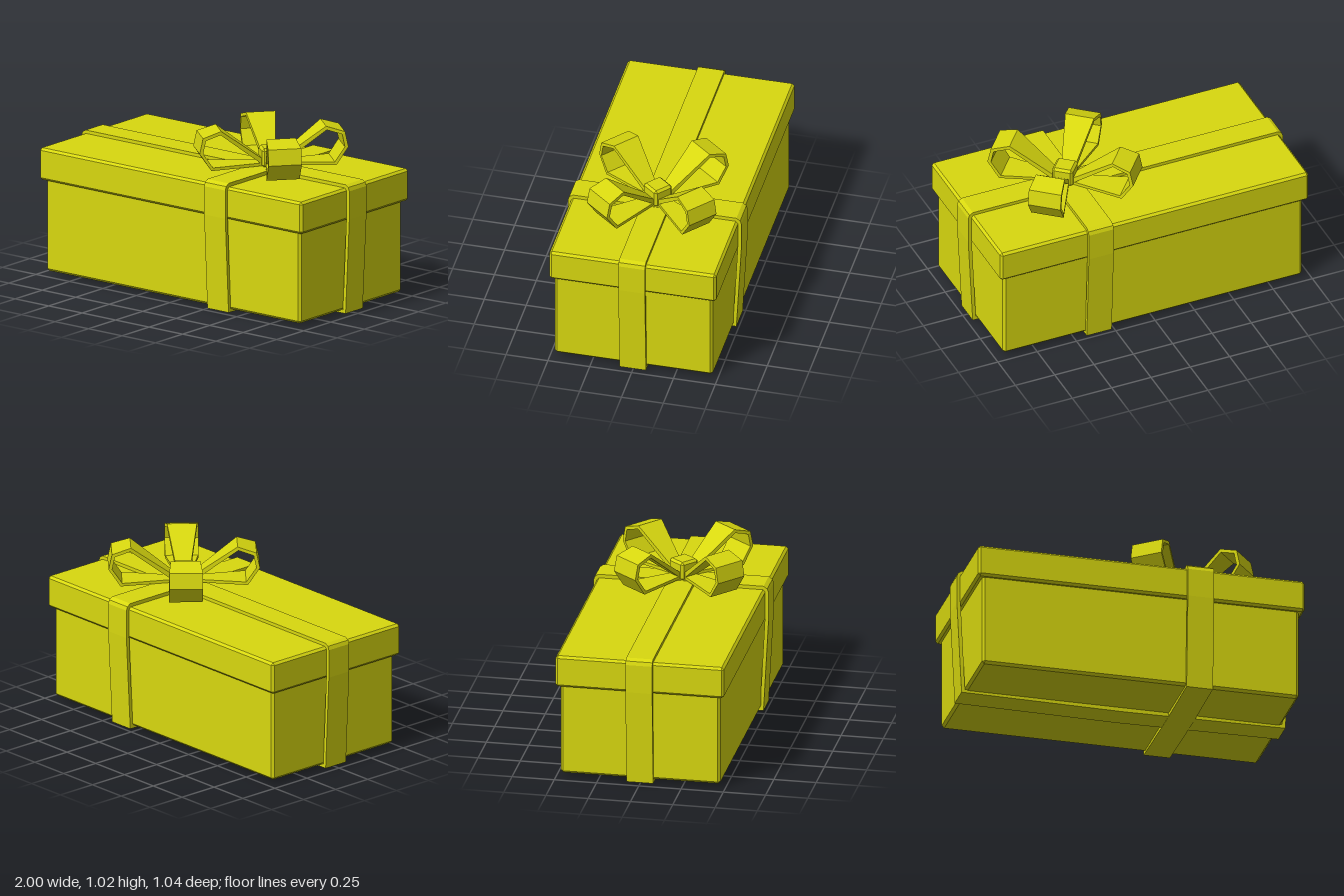
import * as THREE from 'three';
import { ConvexGeometry } from 'three/addons/geometries/ConvexGeometry.js';

const yellow = new THREE.MeshStandardMaterial({ color: 0xd8d80f });
yellow.name = 'yellow';

function add(parent, name, geometry) {
  const mesh = new THREE.Mesh(geometry, yellow);
  mesh.name = name;
  parent.add(mesh);
  return mesh;
}

// Box with every edge chamfered, standing between two heights
function chamferBox(w, y0, y1, d, c) {
  const points = [];
  const hx = w / 2, hy = (y1 - y0) / 2, hz = d / 2;
  for (const x of [-1, 1]) for (const y of [-1, 1]) for (const z of [-1, 1]) {
    points.push(
      new THREE.Vector3(x * hx, y * (hy - c), z * (hz - c)),
      new THREE.Vector3(x * (hx - c), y * hy, z * (hz - c)),
      new THREE.Vector3(x * (hx - c), y * (hy - c), z * hz));
  }
  return new ConvexGeometry(points).translate(0, (y0 + y1) / 2, 0);
}

// Closed strip: outer outline minus inner outline, extruded about z = 0
function strip(outer, inner, width) {
  const toVec = ([x, y]) => new THREE.Vector2(x, y);
  const shape = new THREE.Shape(outer.map(toVec));
  shape.holes.push(new THREE.Path(inner.map(toVec)));
  return new THREE.ExtrudeGeometry(shape, { depth: width, bevelEnabled: false })
    .translate(0, 0, -width / 2);
}

// Ribbon wrapped around the whole box; it leans in below the lid
function wrap(top, lid, foot, width) {
  const mirror = half => [...half, ...half.slice().reverse().map(([x, y]) => [-x, y])];
  const outer = mirror([[foot, 0.01], [lid, 0.58], [lid, 0.75], [lid - 0.008, 0.772], [lid - 0.03, top]]);
  outer.push([0, 0]);
  const inner = mirror([[foot - 0.02, 0.03], [lid - 0.022, 0.58], [lid - 0.022, 0.75]]);
  return strip(outer, inner, width);
}

export function createModel() {
  const model = new THREE.Group();
  model.name = 'giftBox';

  add(model, 'boxBody', chamferBox(1.9, 0.025, 0.62, 0.944, 0.015));
  add(model, 'lid', chamferBox(1.96, 0.573, 0.765, 0.996, 0.014));

  add(model, 'longRibbon', wrap(0.785, 1.0, 0.972, 0.158));
  const cross = add(model, 'crossRibbon', wrap(0.787, 0.518, 0.488, 0.158));
  cross.rotation.y = Math.PI / 2;
  cross.position.x = 0.35;

  // Bow: four loops that widen away from the knot
  const bow = new THREE.Group();
  bow.name = 'bow';
  bow.position.x = 0.35;
  model.add(bow);

  const loop = strip(
    [[0.02, 0.79], [0.37, 0.79], [0.44, 0.895], [0.42, 0.987], [0.31, 1.022], [0.02, 0.805]],
    [[0.07, 0.808], [0.36, 0.808], [0.419, 0.895], [0.403, 0.972], [0.314, 1.0]],
    2);
  const pos = loop.attributes.position;
  for (let i = 0; i < pos.count; i++) {
    const r = pos.getX(i);
    pos.setZ(i, pos.getZ(i) * (0.028 + 0.07 * Math.min(1, r / 0.37)));
  }
  loop.computeVertexNormals();
  for (let i = 0; i < 4; i++) {
    add(bow, 'bowLoop' + (i + 1), loop).rotation.y = -(40 + 90 * i) * Math.PI / 180;
  }

  const knot = add(bow, 'knot', chamferBox(0.125, 0.782, 0.895, 0.125, 0.014));
  knot.rotation.y = -40 * Math.PI / 180;

  return model;
}
